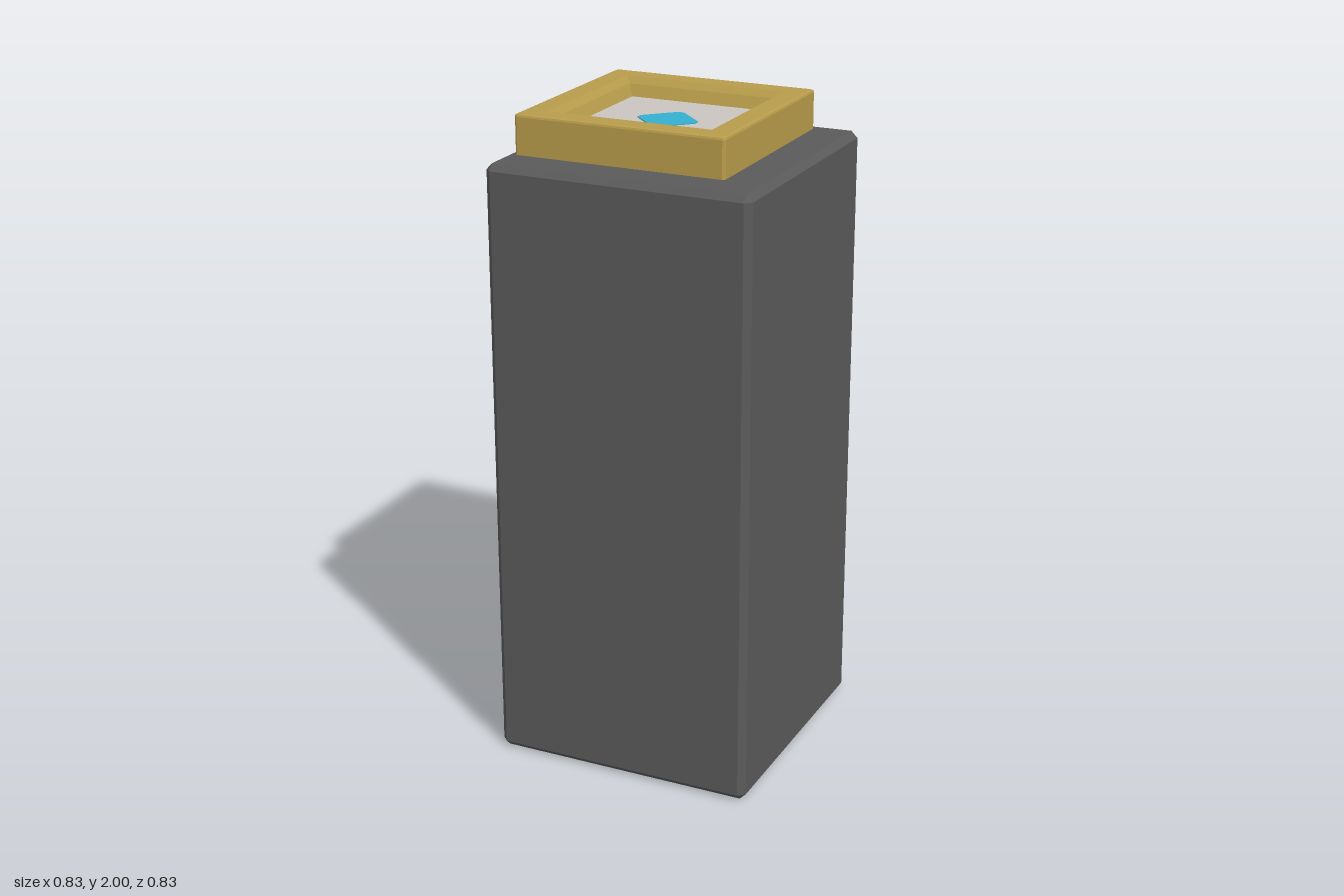
import * as THREE from 'three';

// Loft through stacked square rings [halfWidth, y, cornerCut], listed from the bottom up the outside.
function loftSquare(rings) {
  const loops = rings.map(([h, y, c]) => {
    const pts = [];
    let corner = [[h - c, h], [h, h - c]];
    for (let i = 0; i < 4; i++) {
      corner.forEach(([x, z]) => pts.push(new THREE.Vector3(x, y, z)));
      corner = corner.map(([x, z]) => [z, -x]);
    }
    return pts;
  });
  const pos = [];
  const addTriangle = (a, b, c) => {
    if (new THREE.Triangle(a, b, c).getArea() < 1e-9) return;
    for (const p of [a, b, c]) pos.push(p.x, p.y, p.z);
  };
  for (let i = 0; i < loops.length - 1; i++) {
    for (let k = 0; k < 8; k++) {
      const n = (k + 1) % 8;
      addTriangle(loops[i][k], loops[i][n], loops[i + 1][n]);
      addTriangle(loops[i][k], loops[i + 1][n], loops[i + 1][k]);
    }
  }
  const geometry = new THREE.BufferGeometry();
  geometry.setAttribute('position', new THREE.Float32BufferAttribute(pos, 3));
  geometry.computeVertexNormals();
  return geometry;
}

function material(name, color) {
  const m = new THREE.MeshStandardMaterial({ color });
  m.name = name;
  return m;
}

export function createModel() {
  const group = new THREE.Group();
  group.name = 'pedestal';
  const grey = material('dark grey', 0x5a5a5a);
  const gold = material('gold', 0xb89c4b);
  const pale = material('pale stone', 0xcac5c0);
  const blue = material('cyan', 0x35aed0);

  const add = (name, rings, mat, parent) => {
    const mesh = new THREE.Mesh(loftSquare(rings), mat);
    mesh.name = name;
    parent.add(mesh);
    return mesh;
  };

  // Tall column with every edge chamfered
  add('column', [
    [0, 0, 0], [0.395, 0, 0], [0.415, 0.02, 0.02],
    [0.415, 1.86, 0.02], [0.395, 1.88, 0], [0, 1.88, 0],
  ], grey, group);

  // Tray set off centre on the column top
  const tray = new THREE.Group();
  tray.name = 'tray';
  tray.position.set(-0.051, 0, -0.046);
  group.add(tray);

  // Frame: softened outside edges, flat rim, sloping inner wall
  add('frame', [
    [0, 1.878, 0], [0.332, 1.878, 0.008], [0.332, 1.992, 0.008],
    [0.33, 1.998, 0.007], [0.324, 2, 0.004],
    [0.261, 2, 0], [0.244, 1.98, 0], [0.227, 1.94, 0],
  ], gold, tray);

  // Recessed floor panel
  add('floorPanel', [[0.229, 1.944, 0], [0, 1.944, 0]], pale, tray);

  // Blunt-cornered diamond inlay
  const inlay = add('diamondInlay', [
    [0.073, 1.943, 0.014], [0.073, 1.947, 0.014], [0, 1.947, 0],
  ], blue, tray);
  inlay.rotation.y = Math.PI / 4;

  return group;
}
